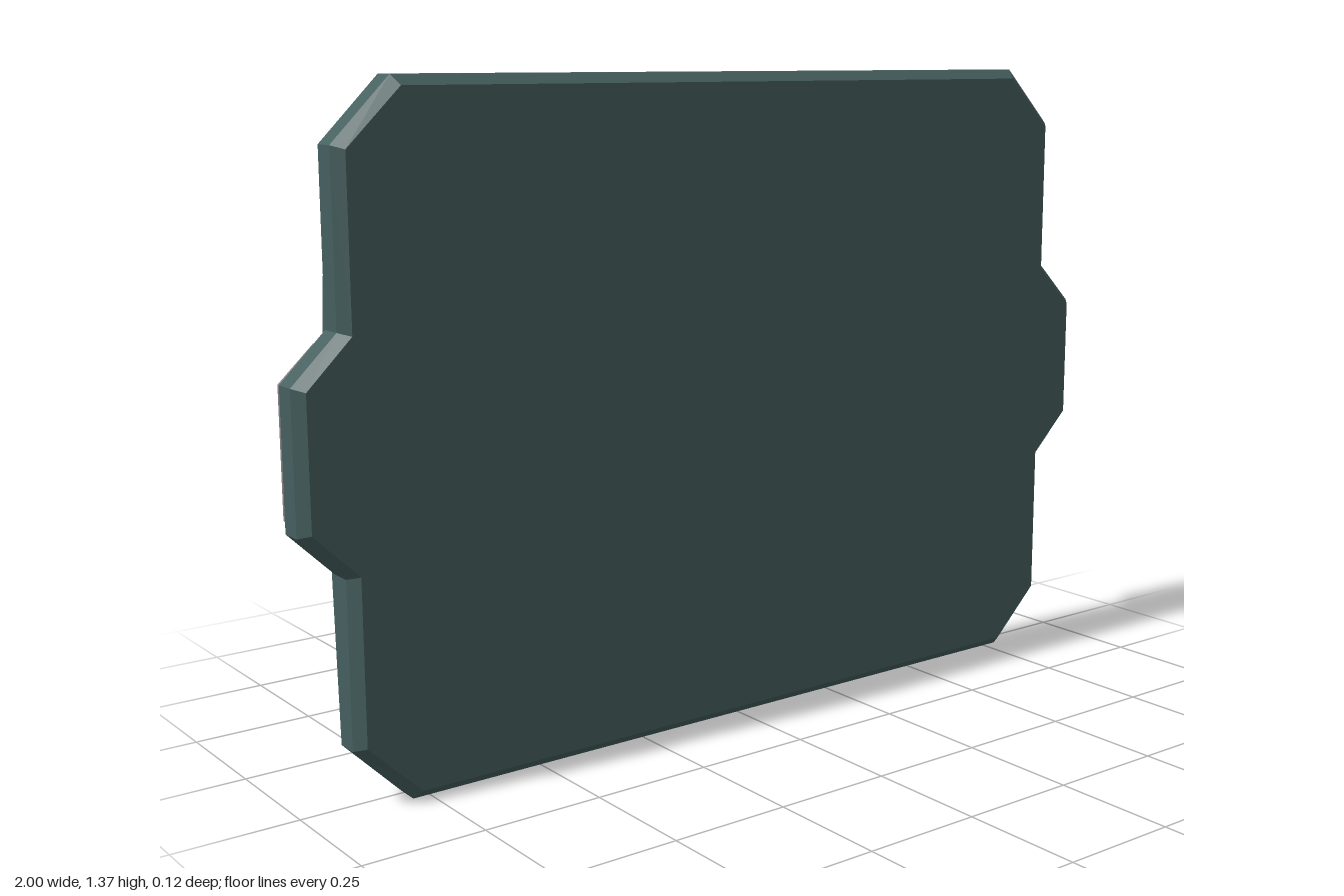
import * as THREE from 'three';
import { mergeGeometries } from 'three/addons/utils/BufferGeometryUtils.js';

const MID_Y = 0.6825;

// Full counter-clockwise outline from one quarter (x, height above the middle)
function outline(quarter) {
  const upper = quarter.map(([x, y]) => [x, y]);
  const mirror = (pts, sx, sy) => pts.map(([x, y]) => [x * sx, y * sy]).reverse();
  const right = [...mirror(upper, 1, -1), ...upper];
  const left = mirror(right, -1, 1);
  return [...right, ...left].map(([x, y]) => new THREE.Vector2(x, y + MID_Y));
}

// Band of quads between two matching outlines, facing outward when z0 < z1
function band(a, z0, b, z1) {
  const pos = [];
  a.forEach((p, i) => {
    const j = (i + 1) % a.length;
    const A = [p.x, p.y, z0], B = [a[j].x, a[j].y, z0];
    const C = [b[j].x, b[j].y, z1], D = [b[i].x, b[i].y, z1];
    pos.push(...A, ...B, ...C, ...A, ...C, ...D);
  });
  const g = new THREE.BufferGeometry();
  g.setAttribute('position', new THREE.Float32BufferAttribute(pos, 3));
  return g;
}

// Flat cap, facing +z or (flipped) -z
function cap(points, z, flip = false, hole = null) {
  const shape = new THREE.Shape(points);
  if (hole) shape.holes.push(new THREE.Path(hole));
  const g = new THREE.ShapeGeometry(shape).toNonIndexed();
  g.deleteAttribute('uv');
  g.deleteAttribute('normal');
  if (flip) {
    const p = g.attributes.position;
    for (let i = 0; i < p.count; i += 3) {
      const x = p.getX(i), y = p.getY(i);
      p.setXY(i, p.getX(i + 1), p.getY(i + 1));
      p.setXY(i + 1, x, y);
    }
  }
  return g.translate(0, 0, z);
}

function makeMesh(name, parts, color) {
  const g = mergeGeometries(parts);
  g.computeVertexNormals();
  const mesh = new THREE.Mesh(g, new THREE.MeshStandardMaterial({ color, flatShading: true }));
  mesh.name = name;
  return mesh;
}

export function createModel() {
  const group = new THREE.Group();
  group.name = 'tablet';

  // Outlines: widest rim, bevelled front edge, bevelled back edge
  const rim = outline([[1, 0.137], [0.907, 0.228], [0.907, 0.56], [0.785, 0.6825]]);
  const front = outline([[0.98, 0.13], [0.887, 0.222], [0.887, 0.553], [0.775, 0.6625]]);
  const back = outline([[0.98, 0.13], [0.903, 0.205], [0.885, 0.55], [0.775, 0.6625]]);
  const opening = [[-0.78, 0.132], [0.78, 0.132], [0.78, 1.233], [-0.78, 1.233]]
    .map(([x, y]) => new THREE.Vector2(x, y));

  // Casing with bevels and a shallow recess in the back
  group.add(makeMesh('casing', [
    cap(front, 0.06),
    band(rim, 0.038, front, 0.06),
    band(rim, -0.008, rim, 0.038),
    band(back, -0.03, rim, -0.008),
    cap(back, -0.03, true, opening),
    band(opening, -0.018, opening, -0.03),
  ], 0x46605f));

  // Screen set into the recess
  group.add(makeMesh('screen', [cap(opening, -0.018, true)], 0x0a0a0a));

  // Grip pads behind the side tabs
  for (const side of [1, -1]) {
    const pad = [[0.907, 0.488], [0.98, 0.557], [0.98, 0.811], [0.907, 0.88]]
      .map(([x, y]) => new THREE.Vector2(x * side, y));
    if (side < 0) pad.reverse();
    group.add(makeMesh(side > 0 ? 'leftGripPad' : 'rightGripPad', [
      cap(pad, -0.06, true),
      band(pad, -0.06, pad, -0.028),
      cap(pad, -0.028),
    ], 0x868080));
  }
  return group;
}
